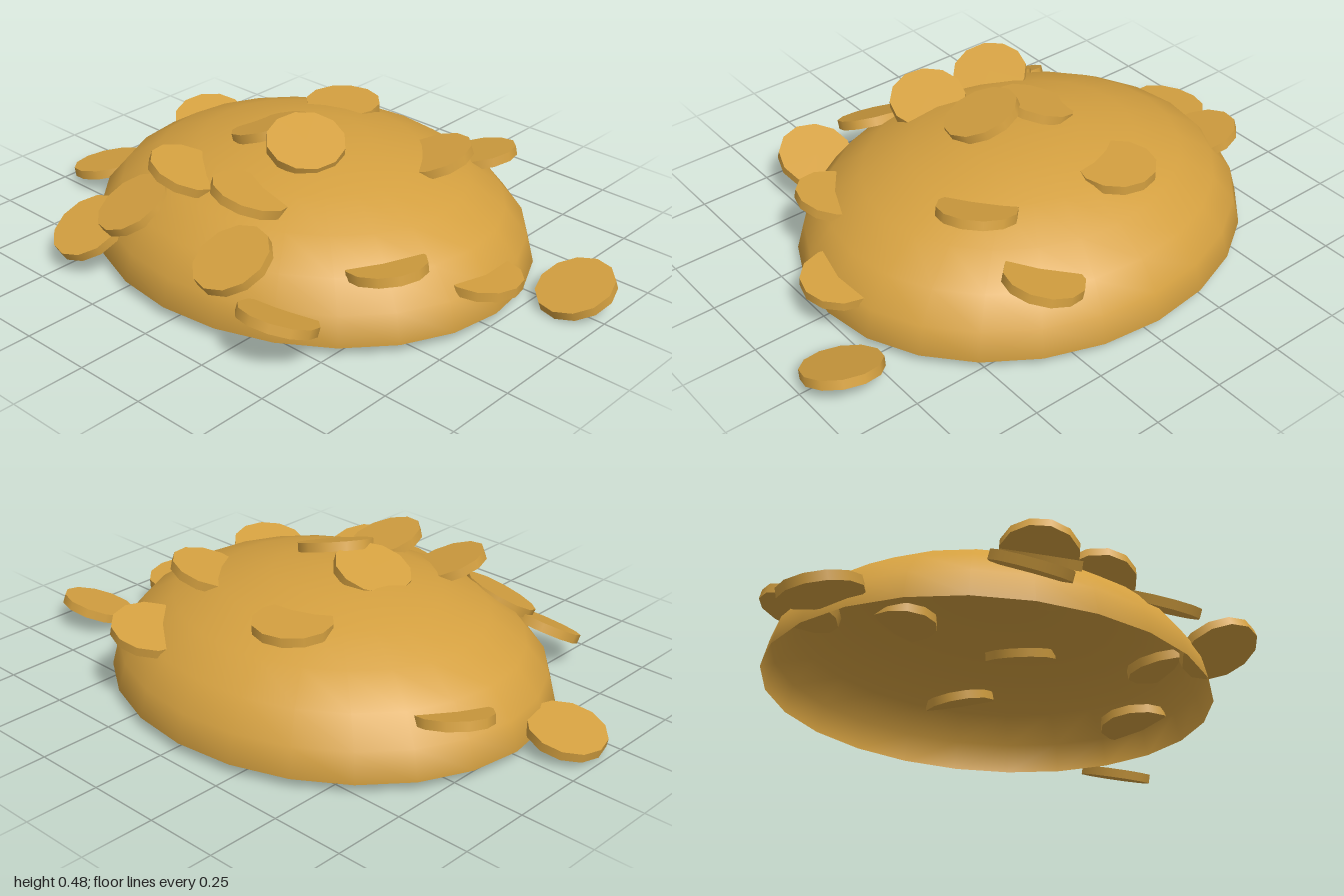
import * as THREE from 'three';

const R = 0.129, THICK = 0.031;

// Each coin: centre [x, y, z] and the direction its face points [nx, ny, nz]
const COINS = [
  // lying loose beside the heap
  [[0.867, 0.068, -0.285], [-0.12, 1, 0.34]],
  [[-0.87, 0.07, 0.14], [-0.23, 1, 0]],
  // front foot of the heap
  [[-0.457, 0.137, 0.575], [-0.1, 1, 0.53]],
  [[-0.33, 0.235, 0.49], [-0.25, 1, 0.5]],
  [[0.395, 0.152, 0.575], [0, 1, -0.42]],
  [[0.17, 0.245, 0.535], [-0.1, 1, 0.5]],
  // half buried in the sides
  [[0.53, 0.237, 0.243], [-0.2, 1, -0.06]],
  [[0.69, 0.149, -0.025], [0, 1, -0.07]],
  [[-0.69, 0.19, -0.195], [0.2, 1, 0.2]],
  // half buried in the back
  [[0.29, 0.258, -0.525], [-0.25, 1, 0]],
  [[0.32, 0.362, -0.24], [-0.25, 1, 0.2]],
  [[-0.165, 0.365, -0.337], [0, 1, 0]],
  // upper front
  [[-0.205, 0.355, 0.365], [0.3, 1, -0.2]],
  [[0.07, 0.363, 0.355], [0.2, 1, -0.25]],
  // crown
  [[-0.148, 0.415, 0.045], [-0.35, 1, 0]],
  [[0.05, 0.435, 0.083], [0.3, 1, 0.22]],
];

export function createModel() {
  const group = new THREE.Group();
  group.name = 'coinHeap';
  const gold = new THREE.MeshStandardMaterial({ color: 0xd4a040 });
  const goldShell = new THREE.MeshStandardMaterial({ color: 0xd4a040, side: THREE.DoubleSide });

  // Flattened, open-bottomed dome
  const mound = new THREE.Mesh(
    new THREE.SphereGeometry(1, 24, 6, 0, Math.PI * 2, 0, Math.PI / 2), goldShell);
  mound.name = 'mound';
  mound.scale.set(0.78, 0.37, 0.675);
  mound.position.set(-0.03, 0.045, -0.028);
  group.add(mound);

  // Scattered coins
  const coinGeometry = new THREE.CylinderGeometry(R, R, THICK, 12);
  const up = new THREE.Vector3(0, 1, 0);
  COINS.forEach(([centre, facing], i) => {
    const coin = new THREE.Mesh(coinGeometry, gold);
    coin.name = `coin${i + 1}`;
    coin.position.set(...centre);
    coin.quaternion.setFromUnitVectors(up, new THREE.Vector3(...facing).normalize());
    group.add(coin);
  });
  return group;
}
